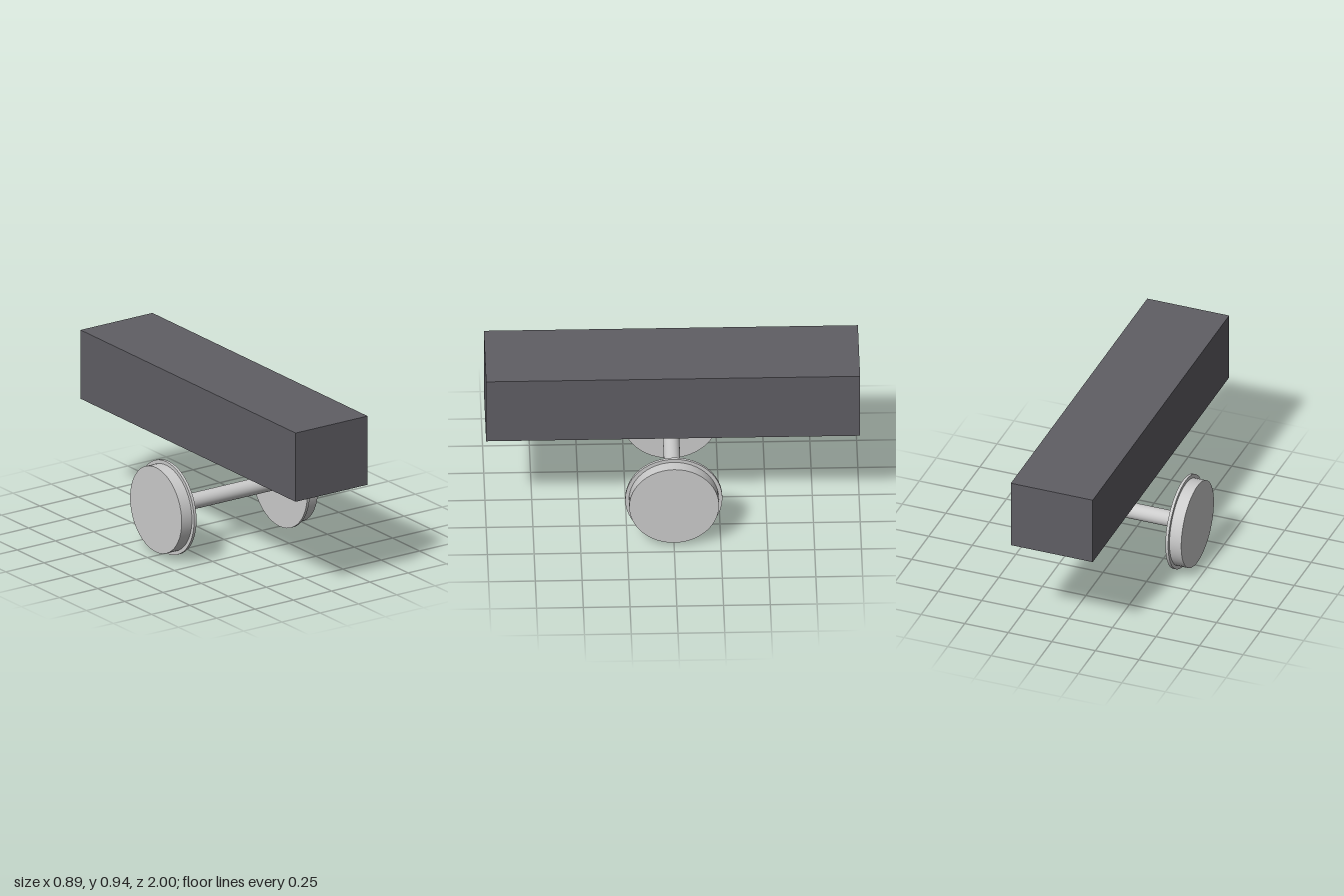
import * as THREE from 'three';

export function createModel() {
  const model = new THREE.Group();
  const grey = new THREE.MeshStandardMaterial({ color: 0xcccccc });
  const dark = new THREE.MeshStandardMaterial({ color: 0x5f5e64 });
  const axleY = 0.26;

  // Cylinder lying along x
  function disc(name, radius, length, x, parent) {
    const geometry = new THREE.CylinderGeometry(radius, radius, length, 48);
    geometry.rotateZ(Math.PI / 2);
    const mesh = new THREE.Mesh(geometry, grey);
    mesh.name = name;
    mesh.position.x = x;
    parent.add(mesh);
  }

  // Long beam floating above the wheelset
  const beam = new THREE.Mesh(new THREE.BoxGeometry(0.47, 0.39, 2), dark);
  beam.name = 'beam';
  beam.position.y = 0.75;
  model.add(beam);

  // Axle with a flanged wheel at each end, flanges inward
  const wheelset = new THREE.Group();
  wheelset.name = 'wheelset';
  wheelset.position.y = axleY;
  disc('axle', 0.044, 0.73, 0, wheelset);
  for (const [side, s] of [['left', 1], ['right', -1]]) {
    const wheel = new THREE.Group();
    wheel.name = side + 'Wheel';
    disc(side + 'Tread', 0.24, 0.07, s * 0.41, wheel);
    disc(side + 'Flange', 0.26, 0.016, s * 0.37, wheel);
    wheelset.add(wheel);
  }
  model.add(wheelset);

  return model;
}
